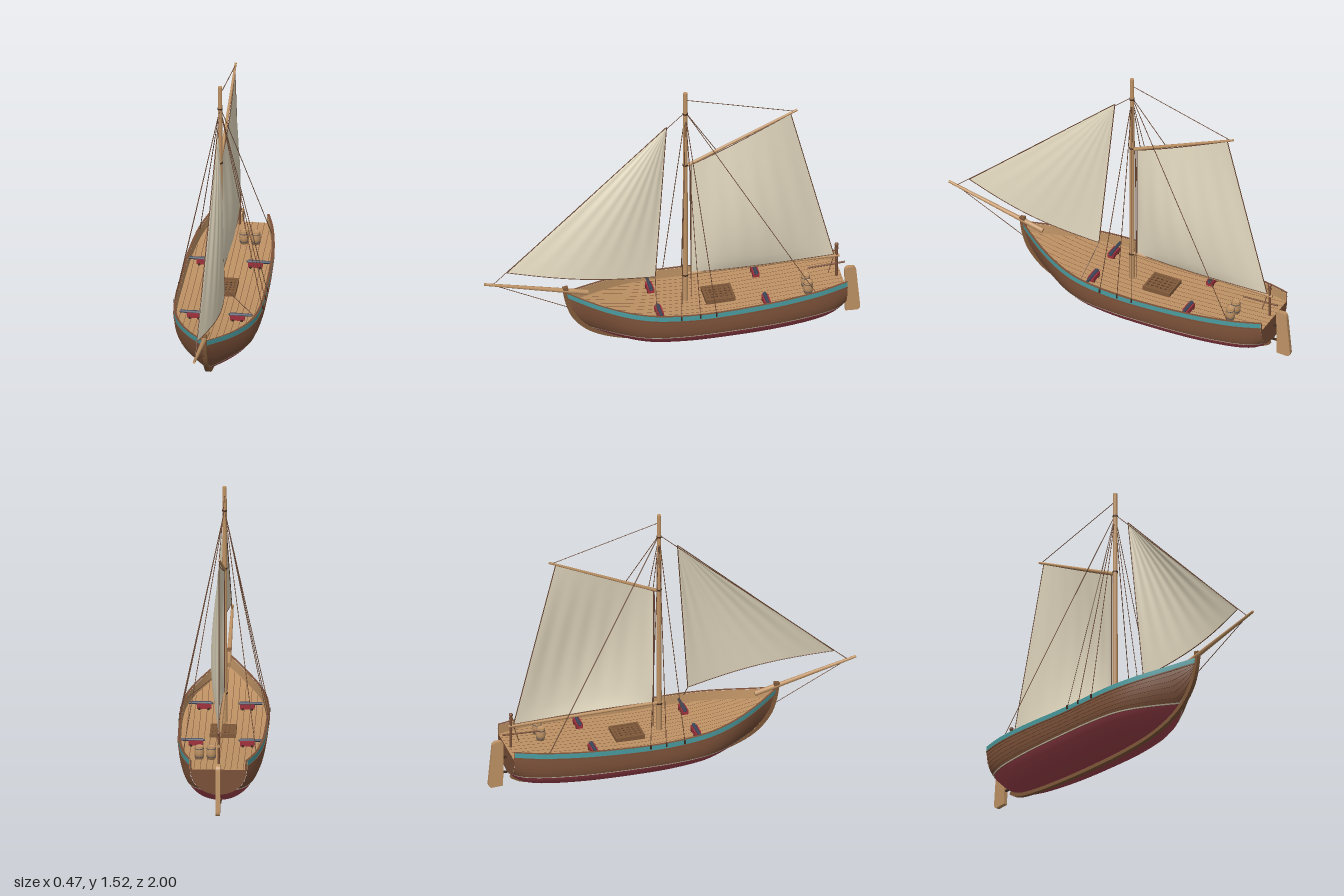
import * as THREE from 'three';

const mat = (name, color, side = THREE.FrontSide) =>
  Object.assign(new THREE.MeshStandardMaterial({ color, side }), { name });
const V = (x, y, z) => new THREE.Vector3(x, y, z);
const { lerp, clamp, smoothstep } = THREE.MathUtils;

// Smooth curve through [z, value] pairs
function table(pts) {
  const slope = i => {
    const a = pts[Math.max(i - 1, 0)], b = pts[Math.min(i + 1, pts.length - 1)];
    return (b[1] - a[1]) / (b[0] - a[0]);
  };
  return z => {
    let i = 0;
    while (i < pts.length - 2 && z > pts[i + 1][0]) i++;
    const [x0, y0] = pts[i], [x1, y1] = pts[i + 1], h = x1 - x0, t = clamp((z - x0) / h, 0, 1);
    const t2 = t * t, t3 = t2 * t;
    return (2 * t3 - 3 * t2 + 1) * y0 + (t3 - 2 * t2 + t) * h * slope(i)
      + (3 * t2 - 2 * t3) * y1 + (t3 - t2) * h * slope(i + 1);
  };
}

// Surface from f(u, v) -> Vector3; it faces du x dv
function grid(nu, nv, f) {
  const pos = [], idx = [];
  for (let j = 0; j <= nv; j++) for (let i = 0; i <= nu; i++) pos.push(...f(i / nu, j / nv).toArray());
  for (let j = 0; j < nv; j++) for (let i = 0; i < nu; i++) {
    const a = j * (nu + 1) + i, d = a + nu + 1;
    idx.push(a, a + 1, d + 1, a, d + 1, d);
  }
  const g = new THREE.BufferGeometry();
  g.setAttribute('position', new THREE.Float32BufferAttribute(pos, 3));
  g.setIndex(idx);
  g.computeVertexNormals();
  return g;
}

// Hull lines along z
const BOW = 0.57, STERN = -0.9, DECK = 0.052;
const keel = table([[-0.9, 0.12], [-0.85, 0.075], [-0.75, 0.045], [-0.5, 0.025], [-0.2, 0.02], [0, 0.025],
  [0.2, 0.045], [0.35, 0.085], [0.45, 0.14], [0.52, 0.22], [0.555, 0.3], [0.57, 0.36]]);
const sheer = table([[-0.9, 0.31], [-0.5, 0.285], [-0.2, 0.272], [0, 0.276], [0.2, 0.29], [0.4, 0.32], [0.57, 0.36]]);
const beam = table([[-0.9, 0.15], [-0.8, 0.18], [-0.7, 0.2], [-0.5, 0.221], [-0.2, 0.229], [-0.05, 0.229],
  [0.1, 0.218], [0.2, 0.197], [0.3, 0.16], [0.4, 0.11], [0.5, 0.05], [0.57, 0.004]]);
function hullX(z, y) {
  const k = keel(z), q = clamp((y - k) / Math.max(sheer(z) - k, 1e-4), 0, 1), b = smoothstep(z, 0.1, BOW);
  return Math.max(beam(z), 0) * Math.pow(1 - Math.pow(1 - q, lerp(3, 1.4, b)), lerp(0.5, 0.75, b));
}
const deckY = z => Math.max(sheer(z) - DECK, keel(z));

export function createModel() {
  const root = new THREE.Group();
  root.name = 'sailingBoat';
  const tan = mat('light wood', 0xbe9264), brown = mat('hull brown', 0x7a5038), keelWood = mat('keel wood', 0x80593a);
  const dark = mat('dark wood', 0x3e2a1e), ropeMat = mat('rope brown', 0x6a4733), red = mat('bottom red', 0xa0434d);
  const teal = mat('rail teal', 0x4a9da1), canvas = mat('canvas', 0xe2d8bf, THREE.DoubleSide);
  const iron = mat('gunmetal', 0x3d4658), gunRed = mat('carriage red', 0xa0303c);

  const add = (name, geo, m, parent = root) => {
    const o = new THREE.Mesh(geo, m);
    o.name = name;
    parent.add(o);
    return o;
  };
  const box = (name, m, w, h, d, x, y, z) => add(name, new THREE.BoxGeometry(w, h, d), m).position.set(x, y, z);
  // Round bar between two points
  const bar = (name, m, a, b, r0, r1 = r0, sides = 10) => {
    const d = b.clone().sub(a);
    const o = add(name, new THREE.CylinderGeometry(r1, r0, d.length(), sides), m);
    o.position.copy(a).add(b).multiplyScalar(0.5);
    o.quaternion.setFromUnitVectors(V(0, 1, 0), d.normalize());
  };
  const rope = (name, a, b) => bar(name, ropeMat, a, b, 0.002, 0.002, 6);

  // Hull skin in horizontal bands, both sides; off0 and off1 push the lower and upper edge outward
  const zAt = u => BOW - (BOW - STERN) * Math.pow(u, 1.4);
  const band = (name, m, lo, hi, rows, off0 = 0, off1 = off0, ease = 1) => {
    for (const s of [1, -1]) add(name, grid(64, rows, (u, v) => {
      const z = zAt(s > 0 ? u : 1 - u);
      const y = clamp(lerp(lo(z), hi(z), Math.pow(v, ease)), keel(z), sheer(z));
      return V(s * (hullX(z, y) + lerp(off0, off1, v)), y, z);
    }), m);
  };
  const water = z => Math.max(0.131 + 0.02 * z * z, keel(z));
  const strake = z => Math.max(sheer(z) - 0.028, keel(z));
  band('bottom', red, keel, water, 12, 0, 0, 2);
  band('waterlineStripe', canvas, water, z => water(z) + 0.006, 1, 0.004);

  // Lapped topside planks, each with a lip along its lower edge
  const PLANKS = 6;
  for (let i = 0; i < PLANKS; i++) {
    const edge = k => z => lerp(water(z), strake(z), k / PLANKS);
    band('topsidePlank', brown, edge(i), edge(i + 1), 2, 0.003, 0);
    band('plankLip', brown, edge(i), edge(i), 1, 0, 0.003);
  }
  band('sheerStrake', teal, strake, sheer, 2, 0.002);
  const waleLow = z => strake(z) - 0.006;
  band('wale', brown, waleLow, strake, 1, 0.006);
  band('waleUnderside', brown, waleLow, waleLow, 1, 0, 0.006);
  band('waleTop', brown, strake, strake, 1, 0.006, 0);

  // Bulwark lining, cap rail and stern ends
  const inner = (z, y) => Math.max(hullX(z, y) - 0.01, 0);
  for (const s of [1, -1]) {
    add('bulwarkLining', grid(64, 1, (u, v) => {
      const z = zAt(s > 0 ? 1 - u : u), y = lerp(deckY(z), sheer(z), v);
      return V(s * inner(z, y), y, z);
    }), tan);
    add('capRail', grid(64, 1, (u, v) => {
      const z = zAt(s > 0 ? u : 1 - u), y = sheer(z);
      return V(s * lerp(hullX(z, y) + 0.004, inner(z, y), v), y + 0.001, z);
    }), brown);
    add('bulwarkEnd', grid(1, 1, (u, v) => {
      const y = lerp(deckY(STERN), sheer(STERN), v), t = s > 0 ? 1 - u : u;
      return V(s * lerp(inner(STERN, y), hullX(STERN, y), t), y, STERN);
    }), brown);
  }
  add('transom', grid(8, 10, (u, v) => {
    const y = lerp(keel(STERN), deckY(STERN), v * v);
    return V(lerp(1, -1, u) * hullX(STERN, y), y, STERN);
  }), brown);

  // Deck and its plank seams
  add('deck', grid(60, 4, (u, v) => {
    const z = zAt(1 - u);
    return V(lerp(-1, 1, v) * hullX(z, deckY(z)), deckY(z), z);
  }), tan);
  for (let i = -6; i <= 6; i++) {
    const x = i * 0.032, zs = [];
    for (let z = STERN; z < BOW; z += 0.01) if (inner(z, deckY(z)) > Math.abs(x) + 0.003) zs.push(z);
    const z0 = zs[0], z1 = zs[zs.length - 1];
    add('deckSeam', grid(30, 1, (u, v) => {
      const z = lerp(z0, z1, u);
      return V(x + (v - 0.5) * 0.0025, deckY(z) + 0.0015, z);
    }), brown);
  }

  // Keel and stem, a bent timber along the hull's lower edge
  const spine = new THREE.CatmullRomCurve3([[-0.87, 0.09], [-0.82, 0.062], [-0.7, 0.04], [-0.5, 0.026], [-0.2, 0.02],
    [0, 0.025], [0.2, 0.045], [0.35, 0.085], [0.45, 0.14], [0.52, 0.22], [0.55, 0.3], [0.566, 0.395]]
    .map(([z, y]) => V(z, y, 0)));
  const outer = [], back = [];
  for (let i = 0; i <= 48; i++) {
    const p = spine.getPoint(i / 48), t = spine.getTangent(i / 48);
    outer.push(new THREE.Vector2(p.x + t.y * 0.018, p.y - t.x * 0.02));
    back.unshift(new THREE.Vector2(p.x - t.y * 0.01, p.y + t.x * 0.01));
  }
  const plate = (name, shape, t, m) => {
    const o = add(name, new THREE.ExtrudeGeometry(shape, { depth: t, bevelEnabled: false, curveSegments: 8 }), m);
    o.rotation.y = -Math.PI / 2;
    o.position.x = t / 2;
  };
  plate('keelAndStem', new THREE.Shape([...outer, ...back]), 0.022, keelWood);

  // Rudder, tiller and stern post
  const rudder = new THREE.Shape();
  rudder.moveTo(-0.92, 0.035);
  rudder.lineTo(-0.98, 0.032);
  rudder.quadraticCurveTo(-1.0, 0.035, -0.998, 0.06);
  rudder.lineTo(-0.978, 0.28);
  rudder.quadraticCurveTo(-0.975, 0.302, -0.955, 0.302);
  rudder.lineTo(-0.935, 0.302);
  rudder.quadraticCurveTo(-0.918, 0.3, -0.918, 0.28);
  plate('rudder', rudder, 0.022, tan);
  for (const y of [0.11, 0.2]) box('rudderHinge', dark, 0.012, 0.008, 0.04, 0, y, -0.91);
  bar('tiller', brown, V(0, 0.335, -0.92), V(0, 0.325, -0.72), 0.005, 0.004);
  bar('sternPost', brown, V(0, 0.25, -0.875), V(0, 0.44, -0.875), 0.007);
  add('postBall', new THREE.SphereGeometry(0.011, 12, 8), brown).position.set(0, 0.45, -0.875);
  bar('postCollar', brown, V(0, 0.425, -0.875), V(0, 0.432, -0.875), 0.011);

  // Mast and spars
  const MZ = -0.07;
  bar('mast', tan, V(0, 0.21, MZ), V(0, 1.52, MZ), 0.015, 0.011, 16);
  for (const [y, r] of [[0.38, 0.0165], [1.07, 0.0145], [1.39, 0.0135]])
    bar('mastBand', dark, V(0, y - 0.004, MZ), V(0, y + 0.004, MZ), r, r, 16);
  bar('bowsprit', tan, V(0, 0.345, 0.45), V(0, 0.475, 1.0), 0.014, 0.007);
  bar('boom', tan, V(0, 0.385, -0.05), V(0, 0.382, -0.89), 0.009, 0.008);
  bar('gaff', tan, V(0, 1.065, -0.08), V(0.006, 1.332, -0.665), 0.009, 0.006);

  // Sails with edge ropes
  const mainsail = (u, v) => {
    const foot = V(0, 0.39, lerp(-0.1, -0.86, u)), head = V(0.006 * u, lerp(1.065, 1.312, u), lerp(-0.1, -0.63, u));
    const p = foot.lerp(head, v);
    p.x += 0.056 * Math.sin(Math.PI * Math.pow(u, 0.8)) * (0.2 + 0.8 * Math.sin(Math.PI * Math.pow(v, 0.75)));
    p.x += 0.002 * Math.sin(u * 38) * Math.sin(Math.PI * v);
    return p;
  };
  const jib = (u, v) => {
    const p = V(0.045 * u + 0.043 * Math.sin(Math.PI * u), lerp(0.53, 0.42, u), lerp(0.88, 0.1, u));
    p.lerp(V(0, 1.32, 0.03), v);
    p.x += 0.015 * Math.sin(Math.PI * u) * Math.sin(Math.PI * v) + 0.007 * Math.sin(u * 44) * v * (1 - v);
    return p;
  };
  for (const [name, f] of [['mainsail', mainsail], ['jib', jib]]) {
    add(name, grid(48, 24, f), canvas);
    for (const edge of [t => f(t, 0), t => f(0, t), t => f(1, t), t => f(t, 1)]) {
      const pts = Array.from({ length: 13 }, (_, i) => edge(i / 12));
      if (pts[0].distanceTo(pts[12]) > 0.01)
        add(name + 'EdgeRope', new THREE.TubeGeometry(new THREE.CatmullRomCurve3(pts), 24, 0.0025, 6), ropeMat);
    }
  }

  // Rigging
  rope('forestay', V(0, 0.465, 0.955), V(0, 1.4, MZ));
  rope('bobstay', V(0, 0.462, 0.95), V(0, 0.265, 0.55));
  rope('peakHalyard', V(0, 1.475, MZ), V(0.006, 1.325, -0.65));
  rope('mainHalyard', V(0.01, 0.24, -0.1), V(0.005, 1.075, -0.092));
  rope('mainsheet', V(0, 0.38, -0.86), V(0, 0.28, -0.83));
  rope('jibSheet', V(0.045, 0.42, 0.1), V(0.2, 0.28, 0.125));
  for (const s of [1, -1]) {
    for (const z of [0.0, -0.1, -0.185]) {
      rope('shroud', V(0, 1.39, MZ), V(s * 0.228, 0.275, z));
      box('chainPlate', dark, 0.008, 0.022, 0.008, s * 0.231, 0.264, z);
    }
    rope('backstay', V(0, 1.4, MZ), V(s * 0.188, 0.3, -0.72));
  }

  // Hatch with grating
  const hy = deckY(-0.245);
  box('hatchBase', dark, 0.12, 0.016, 0.14, 0, hy + 0.006, -0.245);
  for (const s of [1, -1]) {
    box('hatchSide', keelWood, 0.012, 0.026, 0.155, s * 0.062, hy + 0.011, -0.245);
    box('hatchEnd', keelWood, 0.136, 0.026, 0.012, 0, hy + 0.011, -0.245 + s * 0.072);
  }
  for (let i = -2; i <= 2; i++) {
    box('gratingBar', keelWood, 0.01, 0.008, 0.14, i * 0.022, hy + 0.016, -0.245);
    box('gratingCrossBar', keelWood, 0.12, 0.008, 0.01, 0, hy + 0.0155, -0.245 + i * 0.026);
  }

  // Barrels
  const profile = [[0, 0], [0.021, 0], [0.026, 0.035], [0.022, 0.07], [0.019, 0.07], [0.019, 0.066], [0, 0.066]]
    .map(([x, y]) => new THREE.Vector2(x, y));
  for (const x of [0.045, 0.107]) {
    const y = deckY(-0.7);
    add('barrel', new THREE.LatheGeometry(profile, 18), tan).position.set(x, y, -0.7);
    for (const h of [0.014, 0.058])
      bar('barrelHoop', iron, V(x, y + h - 0.0015, -0.7), V(x, y + h + 0.0015, -0.7), 0.0242, 0.0242, 18);
  }

  // Four small guns; x is the inboard end of the carriage
  for (const s of [1, -1]) for (const [x, z] of [[0.097, -0.47], [0.075, 0.095]]) {
    const y = deckY(z), mid = s * (x + 0.0375);
    box('carriageBed', gunRed, 0.075, 0.014, 0.03, mid, y + 0.014, z);
    for (const side of [1, -1]) box('carriageCheek', gunRed, 0.075, 0.026, 0.008, mid, y + 0.02, z + side * 0.013);
    for (const dx of [-0.024, 0.024])
      bar('carriageAxle', dark, V(mid + dx, y + 0.007, z - 0.018), V(mid + dx, y + 0.007, z + 0.018), 0.007);
    bar('gunBarrel', iron, V(s * x, y + 0.033, z), V(s * (x + 0.115), y + 0.035, z), 0.011, 0.007, 12);
    add('gunKnob', new THREE.SphereGeometry(0.006, 8, 6), iron).position.set(s * (x - 0.004), y + 0.033, z);
  }
  return root;
}
